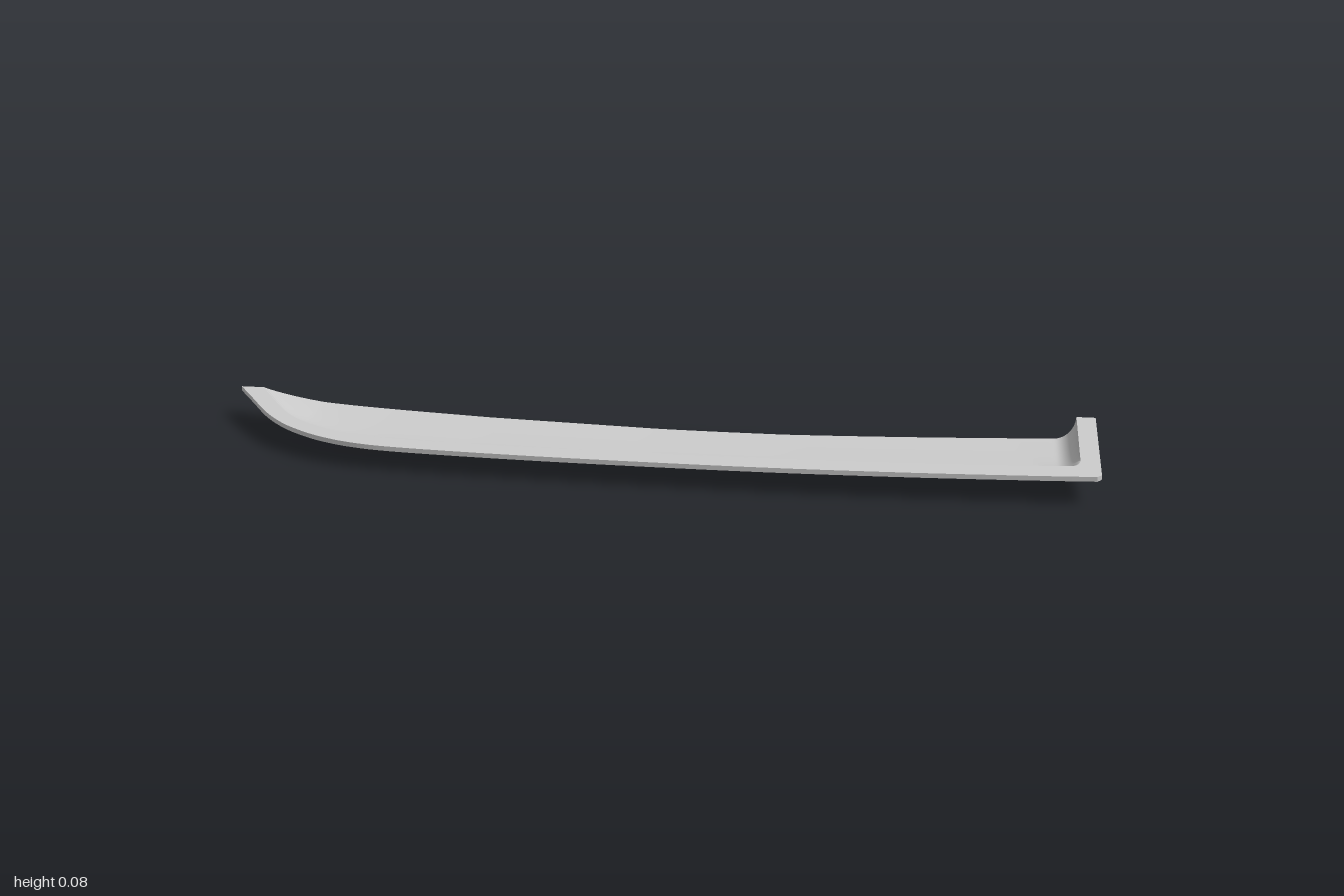
import * as THREE from 'three';

const THICK = 0.011;
const material = new THREE.MeshStandardMaterial({ color: 0xcccccc, side: THREE.DoubleSide });
const vec2 = (points) => points.map(([x, z]) => new THREE.Vector2(x, z));

// Plan curves as (x, z): outer edge of the flange, and its edge against the trough
const outerCurve = new THREE.SplineCurve(vec2([
  [-1, -0.14], [-0.95, -0.07], [-0.9, 0], [-0.85, 0.053], [-0.8, 0.09], [-0.74, 0.122], [-0.66, 0.148],
  [-0.55, 0.163], [-0.3, 0.175], [0, 0.181], [0.3, 0.181], [0.6, 0.173], [0.85, 0.161], [0.99, 0.152],
]));
const innerCurve = new THREE.SplineCurve(vec2([
  [-0.945, -0.138], [-0.9, -0.07], [-0.85, -0.002], [-0.8, 0.043], [-0.74, 0.078], [-0.68, 0.1], [-0.6, 0.114],
  [-0.4, 0.126], [-0.1, 0.133], [0.2, 0.133], [0.5, 0.126], [0.75, 0.115], [0.89, 0.106], [0.935, 0.102],
  [0.951, 0.092], [0.957, 0.075],
]));
const innerPoints = innerCurve.getPoints(150);

// Tilted plane of the flange top
const flangeTop = (x, z) => 0.0717 - 0.056 * z - 0.0048 * (1 - x);

// Full trough depth along x: shallow at the pointed end
const depthKeys = [[-0.95, 0.018], [-0.8, 0.033], [-0.6, 0.042], [-0.4, 0.05], [0, 0.06], [0.3, 0.064], [1, 0.063]];
function fullDepth(x) {
  const i = Math.max(1, depthKeys.findIndex(([kx]) => kx >= x));
  const [x0, d0] = depthKeys[i - 1];
  const [x1, d1] = depthKeys[i];
  return THREE.MathUtils.lerp(d0, d1, (x - x0) / (x1 - x0));
}

// Quarter-round rise of the square end wall
const endWall = (x) => {
  const r = THREE.MathUtils.clamp((0.957 - x) / 0.045, 0, 1);
  return Math.sqrt(1 - (1 - r) ** 2);
};
const backEdge = (x) => -0.135 - (x > 0 ? 0.058 * x ** 1.7 : 0.005 * x * x)
  + (x > 0.9 ? 0.022 * (1 - endWall(x)) : 0);

function troughPoint(p, v) {
  const x = p.x;
  const z = THREE.MathUtils.lerp(p.y, backEdge(x), v ** 1.7);
  let dist = Infinity;
  for (const q of innerPoints) dist = Math.min(dist, Math.hypot(q.x - x, q.y - z));
  if (v === 0) dist = 0;
  const depth = fullDepth(x) * (1 - Math.exp(-dist / 0.05)) * endWall(x);
  return new THREE.Vector3(x, flangeTop(x, z) - depth, z);
}

// Surface through columns of points
function gridGeometry(columns, flip = false) {
  const rows = columns[0].length;
  const index = [];
  for (let i = 0; i < columns.length - 1; i++) {
    for (let j = 0; j < rows - 1; j++) {
      const a = i * rows + j, b = a + rows;
      if (flip) index.push(a, a + 1, b, b, a + 1, b + 1);
      else index.push(a, b, a + 1, b, b + 1, a + 1);
    }
  }
  const geometry = new THREE.BufferGeometry().setFromPoints(columns.flat());
  geometry.setIndex(index);
  geometry.computeVertexNormals();
  return geometry;
}

export function createModel() {
  const group = new THREE.Group();
  const add = (name, geometry) => {
    const mesh = new THREE.Mesh(geometry, material);
    mesh.name = name;
    group.add(mesh);
  };

  // Flat flange around the front and both ends
  const outline = [
    ...outerCurve.getPoints(80), ...vec2([[1, 0.142], [1, -0.166], [0.957, -0.166]]),
    ...[...innerPoints].reverse(), ...vec2([[-0.945, -0.14]]),
  ];
  const flange = new THREE.ExtrudeGeometry(
    new THREE.Shape(outline.map((p) => new THREE.Vector2(p.x, -p.y))), { depth: THICK, bevelEnabled: false });
  flange.rotateX(-Math.PI / 2);
  const pos = flange.attributes.position;
  for (let i = 0; i < pos.count; i++) {
    pos.setY(i, pos.getY(i) - THICK + flangeTop(pos.getX(i), pos.getZ(i)));
  }
  flange.computeVertexNormals();
  add('flange', flange);

  // Trough: inner skin, outer skin offset along the normals, and the open back rim
  const rows = 28;
  const inside = innerPoints.map((p) => Array.from({ length: rows + 1 }, (_, j) => troughPoint(p, j / rows)));
  const insideGeometry = gridGeometry(inside);
  const normals = insideGeometry.attributes.normal;
  const outside = inside.map((column, i) => column.map((p, j) => {
    const n = new THREE.Vector3().fromBufferAttribute(normals, i * (rows + 1) + j);
    return p.clone().addScaledVector(n, -THICK);
  }));
  add('troughInside', insideGeometry);
  add('troughOutside', gridGeometry(outside, true));
  add('troughBackRim', gridGeometry(inside.map((column, i) => [column[rows], outside[i][rows]])));

  return group;
}
